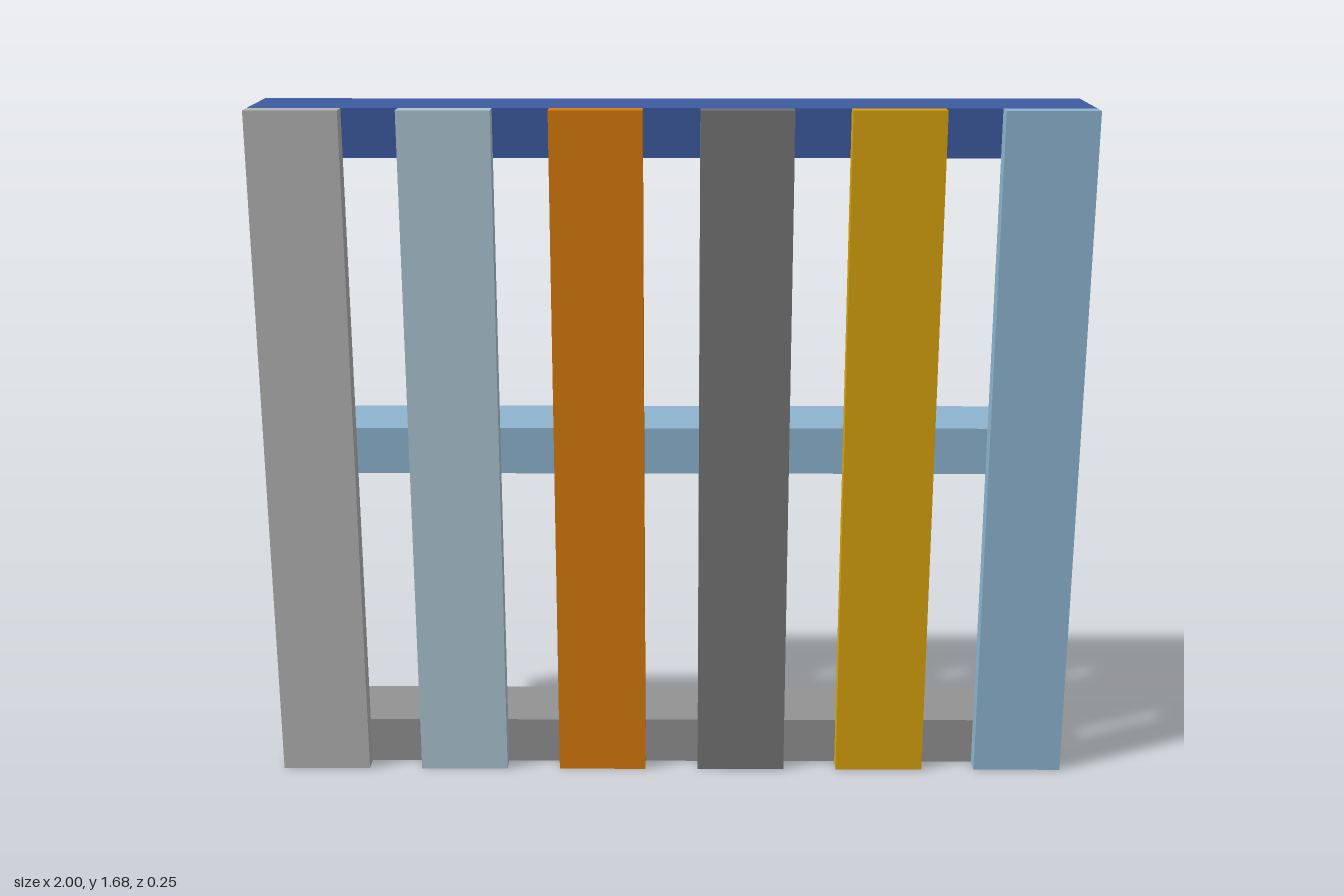
import * as THREE from 'three';

const HEIGHT = 1.685;
const BACK = -0.127, JOINT = 0.08, FRONT = 0.127;

function board(name, color, width, height, zBack, zFront, x, yBottom) {
  const mesh = new THREE.Mesh(
    new THREE.BoxGeometry(width, height, zFront - zBack),
    new THREE.MeshStandardMaterial({ color })
  );
  mesh.name = name;
  mesh.position.set(x, yBottom + height / 2, (zBack + zFront) / 2);
  return mesh;
}

export function createModel() {
  const model = new THREE.Group();
  model.name = 'slattedPanel';

  // Six upright slats across the front, evenly spaced
  const slatWidth = 0.221;
  const slatColors = [0xb2b2b2, 0xacc5d2, 0xd87a0d, 0x747474, 0xd8a20f, 0x8eb4cf];
  const step = (2 - slatWidth) / (slatColors.length - 1);
  slatColors.forEach((color, i) => {
    const x = -1 + slatWidth / 2 + i * step;
    model.add(board(`slat${i + 1}`, color, slatWidth, HEIGHT, JOINT, FRONT, x, 0));
  });

  // Three full-width rails behind the slats
  const railHeight = 0.117;
  const rails = [
    ['bottomRail', 0x929292, 0],
    ['middleRail', 0x8eb4cf, 0.785],
    ['topRail', 0x3d5b9f, HEIGHT - railHeight],
  ];
  for (const [name, color, y] of rails) {
    model.add(board(name, color, 2, railHeight, BACK, JOINT, 0, y));
  }

  return model;
}
